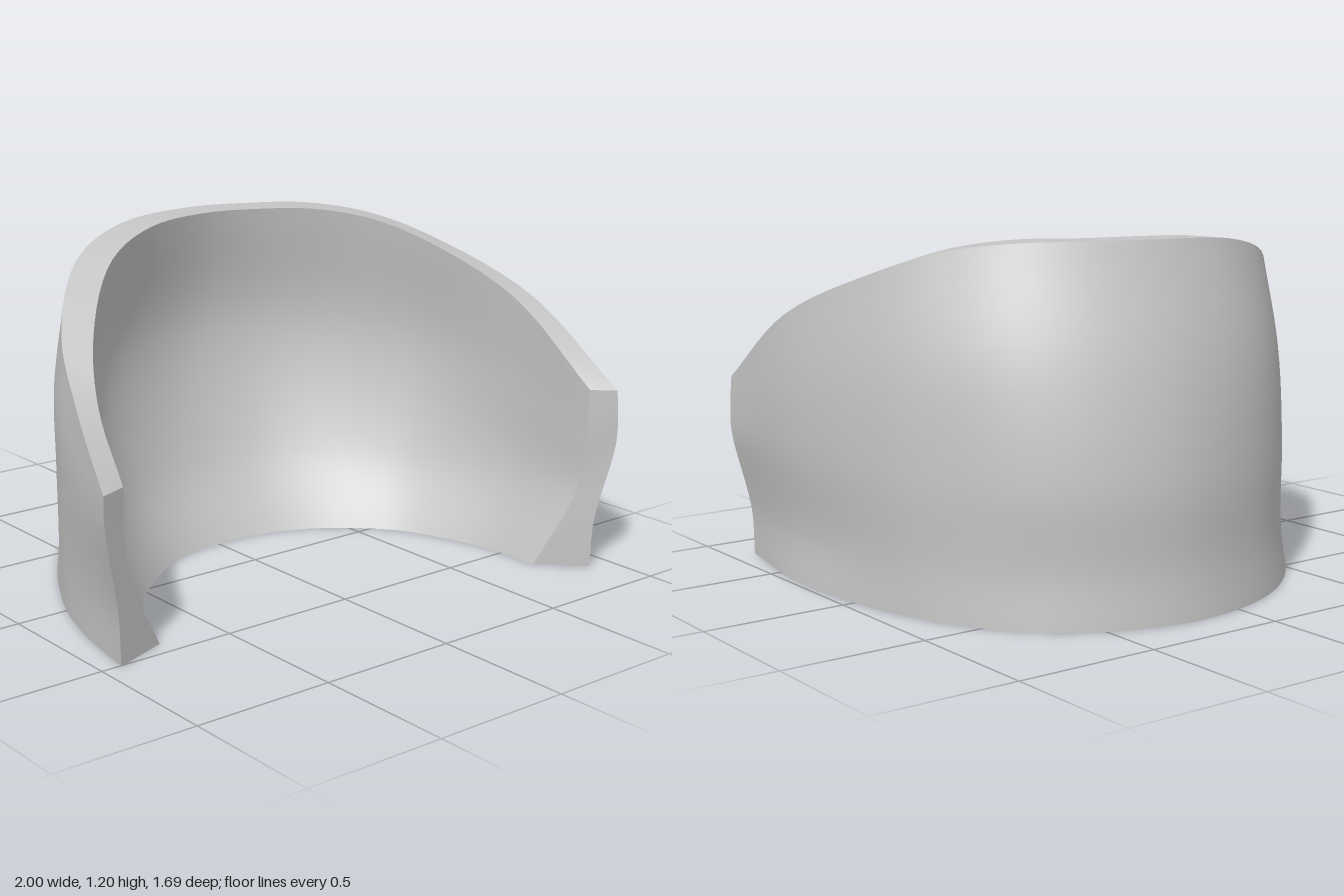
import * as THREE from 'three';

// Lengthwise rails of the curved shell, from its right end round the back to its left end: [x, z]
const topOuter = [[-1, .53], [-.9, .24], [-.77, -.05], [-.48, -.39], [-.17, -.56], [.14, -.61],
  [.38, -.565], [.6, -.44], [.76, -.25], [.88, -.03], [.97, .4], [.96, .84]];
const topInner = [[-.9, .49], [-.82, .24], [-.69, .02], [-.41, -.28], [-.14, -.42], [.13, -.465],
  [.34, -.42], [.52, -.305], [.67, -.15], [.79, .04], [.885, .4], [.89, .775]];
const outerUpper = [[-1, .53], [-.905, .22], [-.79, -.07], [-.51, -.45], [-.185, -.68], [.17, -.755],
  [.43, -.7], [.66, -.56], [.82, -.36], [.925, -.13], [.995, .34], [.965, .845]];
const outerMid = [[-.995, .53], [-.9, .21], [-.785, -.07], [-.5, -.49], [-.18, -.735], [.18, -.825],
  [.46, -.765], [.69, -.61], [.845, -.385], [.935, -.16], [.995, .3], [.965, .84]];
const outerWaist = [[-.94, .51], [-.875, .2], [-.77, -.09], [-.49, -.5], [-.18, -.745], [.17, -.83],
  [.45, -.77], [.68, -.615], [.835, -.39], [.92, -.16], [.965, .31], [.915, .8]];
const outerBase = [[-.93, .505], [-.875, .2], [-.77, -.09], [-.5, -.52], [-.18, -.765], [.17, -.848],
  [.45, -.79], [.685, -.635], [.84, -.405], [.925, -.16], [.982, .3], [.91, .795]];
const innerBase = [[-.73, .43], [-.64, .22], [-.53, .06], [-.3, -.13], [-.13, -.2], [.05, -.22],
  [.23, -.2], [.39, -.135], [.53, -.03], [.64, .1], [.745, .4], [.76, .66]];
const innerMid = [[-.88, .485], [-.785, .24], [-.635, .025], [-.37, -.25], [-.14, -.365], [.1, -.405],
  [.3, -.375], [.48, -.28], [.64, -.13], [.755, .04], [.86, .37], [.87, .75]];
const innerUpper = [[-.9, .49], [-.83, .24], [-.705, .005], [-.435, -.32], [-.15, -.48], [.12, -.535],
  [.36, -.485], [.56, -.36], [.71, -.19], [.825, 0], [.89, .37], [.885, .77]];
// Height of the sloping rim at each station
const rim = [.58, .76, .94, 1.115, 1.185, 1.2, 1.2, 1.197, 1.165, 1.09, .925, .655];

const LENGTH = 66, HEIGHT = 24;

// A rail starts at height y and rises by a share of the way to the rim
function rail(points, y, share) {
  return new THREE.CatmullRomCurve3(points.map(([x, z], i) => new THREE.Vector3(x, y + share * (rim[i] - y), z)));
}

// Smooth grid surface facing along du x dv
function patch(f, nu, nv) {
  const positions = [], index = [];
  for (let i = 0; i <= nu; i++) {
    for (let j = 0; j <= nv; j++) positions.push(...f(i, j).toArray());
  }
  for (let i = 0; i < nu; i++) {
    for (let j = 0; j < nv; j++) {
      const a = i * (nv + 1) + j, b = a + nv + 1;
      index.push(a, b, b + 1, a, b + 1, a + 1);
    }
  }
  const geometry = new THREE.BufferGeometry();
  geometry.setAttribute('position', new THREE.Float32BufferAttribute(positions, 3));
  geometry.setIndex(index);
  geometry.computeVertexNormals();
  return geometry;
}

// Bottom-to-top columns of a wall at every step along its rails
function columns(rails) {
  return Array.from({ length: LENGTH + 1 }, (_, i) =>
    new THREE.CatmullRomCurve3(rails.map(r => r.getPoint(i / LENGTH))).getPoints(HEIGHT));
}

export function createModel() {
  const group = new THREE.Group();
  group.name = 'curvedShell';
  const grey = new THREE.MeshStandardMaterial({ color: 0xc4c4c4 });
  grey.name = 'grey';
  const add = (name, geometry) => {
    const mesh = new THREE.Mesh(geometry, grey);
    mesh.name = name;
    group.add(mesh);
  };

  const outer = columns([rail(outerBase, 0, 0), rail(outerWaist, .17, 0), rail(outerMid, .45, 0),
    rail(outerUpper, .45, .5), rail(topOuter, 0, 1)]);
  const inner = columns([rail(innerBase, 0, 0), rail(innerMid, .28, 0),
    rail(innerUpper, .28, .5), rail(topInner, 0, 1)]);

  // Walls
  add('outerWall', patch((i, j) => outer[i][HEIGHT - j], LENGTH, HEIGHT));
  add('innerWall', patch((i, j) => inner[i][j], LENGTH, HEIGHT));
  // Rim and flat base
  add('topRim', patch((i, j) => (j ? outer : inner)[i][HEIGHT], LENGTH, 1));
  add('base', patch((i, j) => (j ? inner : outer)[i][0], LENGTH, 1));
  // End faces
  add('rightEnd', patch((i, j) => (i ? inner : outer)[0][j], 1, HEIGHT));
  add('leftEnd', patch((i, j) => (i ? outer : inner)[LENGTH][j], 1, HEIGHT));
  return group;
}
